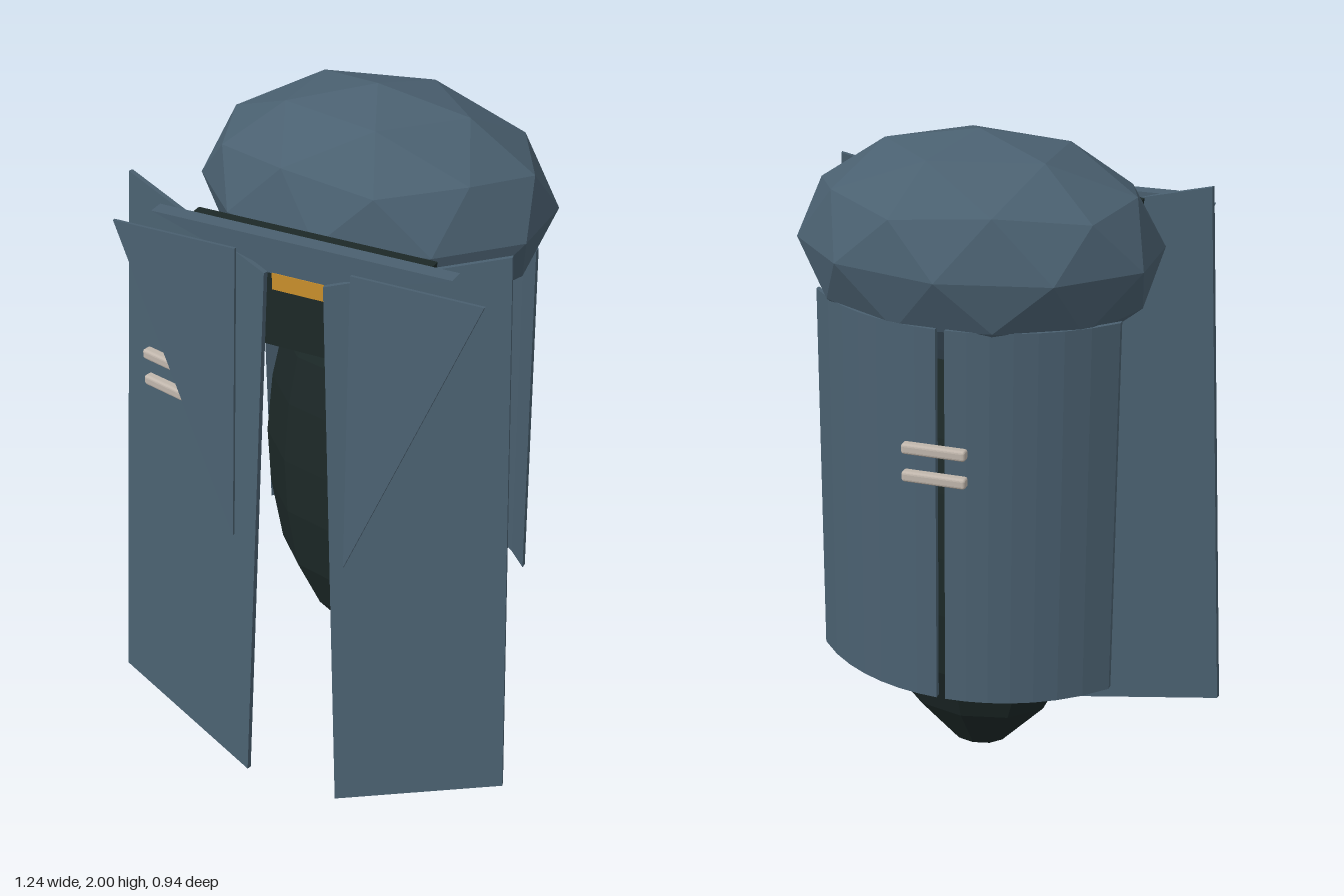
import * as THREE from 'three';
import { ConvexGeometry } from 'three/addons/geometries/ConvexGeometry.js';
import { RoundedBoxGeometry } from 'three/addons/geometries/RoundedBoxGeometry.js';

export function createModel() {
  const group = new THREE.Group();
  const mat = (name, color) => {
    const m = new THREE.MeshStandardMaterial({ color, flatShading: true });
    m.name = name;
    return m;
  };
  const blue = mat('slate blue cloth', 0x4a6070);
  const dark = mat('dark green cloth', 0x1c2827);
  const gold = mat('gold', 0xc98f2c);
  const silver = mat('silver', 0xc0b6ac);

  const add = (name, geometry, material, x = 0, y = 0, z = 0) => {
    const mesh = new THREE.Mesh(geometry, material);
    mesh.name = name;
    mesh.position.set(x, y, z);
    group.add(mesh);
    return mesh;
  };

  // Thin flat plate through the given corners, thickened towards the back
  const plate = (corners, thickness) => {
    const front = corners.map((c) => new THREE.Vector3(...c));
    const n = front[1].clone().sub(front[0]).cross(front[2].clone().sub(front[0])).normalize();
    if (n.z > 0) n.negate();
    const back = front.map((p) => p.clone().addScaledVector(n, thickness));
    return new ConvexGeometry([...front, ...back]);
  };

  // Faceted shoulder dome with a vertex at the pole and a flatter underside
  const dome = new THREE.IcosahedronGeometry(1, 1);
  dome.rotateZ(-Math.atan(2 / (1 + Math.sqrt(5))));
  const dp = dome.attributes.position;
  for (let i = 0; i < dp.count; i++) {
    if (dp.getY(i) < -0.8) dp.setY(i, Math.max(-1, dp.getY(i) * 1.1));
  }
  dome.scale(0.508, 0.31, 0.37);
  add('shoulderDome', dome, blue, 0, 1.69, -0.1);

  // Tapered faceted body, wider than deep
  const profile = [
    [0, 0.17], [0.06, 0.17], [0.165, 0.32], [0.225, 0.48], [0.25, 0.68],
    [0.255, 0.86], [0.24, 1.05], [0.215, 1.2], [0.14, 1.4], [0, 1.55],
  ].map(([r, y]) => new THREE.Vector2(r, y));
  const body = new THREE.LatheGeometry(profile, 10);
  body.scale(1.35, 1, 1);
  add('body', body, dark, 0, 0, -0.115);

  // Chest block, collar and clasp
  add('chestBlock', plate([
    [-0.345, 1.725, 0.32], [-0.305, 1.395, 0.32], [0.305, 1.395, 0.32], [0.345, 1.725, 0.32],
  ], 0.055), dark);
  add('collar', plate([
    [-0.43, 1.74, 0.365], [-0.12, 1.64, 0.365], [0.12, 1.64, 0.365], [0.43, 1.74, 0.365],
  ], 0.045), blue);
  add('clasp', new THREE.BoxGeometry(0.15, 0.048, 0.055), gold, 0, 1.618, 0.3395);

  // Mirrored front panels, lapels and curved back panels
  for (const [side, s] of [['left', 1], ['right', -1]]) {
    add(side + 'FrontPanel', plate([
      [s * 0.55, 1.79, 0.275], [s * 0.62, 0.15, 0.352],
      [s * 0.145, 0.002, 0.468], [s * 0.085, 1.65, 0.39],
    ], 0.014), blue);
    add(side + 'Lapel', plate([
      [s * 0.53, 1.705, 0.397], [s * 0.165, 1.705, 0.397], [s * 0.17, 0.84, 0.455],
    ], 0.009), blue);

    const back = new THREE.BoxGeometry(0.415, 1.08, 0.018, 7, 1, 1);
    back.translate(s * 0.22, 1.01, 0);
    const p = back.attributes.position;
    for (let i = 0; i < p.count; i++) {
      const x = p.getX(i);
      const arc = Math.sqrt(0.56 * 0.56 - x * x) - 0.56;
      p.setZ(i, p.getZ(i) - 0.424 - arc + (p.getY(i) - 1.01) * 0.02);
    }
    back.computeVertexNormals();
    add(side + 'BackPanel', back, blue);
  }

  // Pairs of silver bars on the front and across the back seam
  const frontBar = new RoundedBoxGeometry(0.147, 0.03, 0.03, 2, 0.008);
  for (const y of [1.275, 1.192]) {
    add('frontBar', frontBar, silver, -0.427, y, 0.346).rotation.y = -0.24;
  }
  const backBar = new RoundedBoxGeometry(0.18, 0.03, 0.03, 2, 0.008);
  for (const y of [1.215, 1.135]) {
    add('backBar', backBar, silver, 0.012, y, -0.44);
  }
  return group;
}
